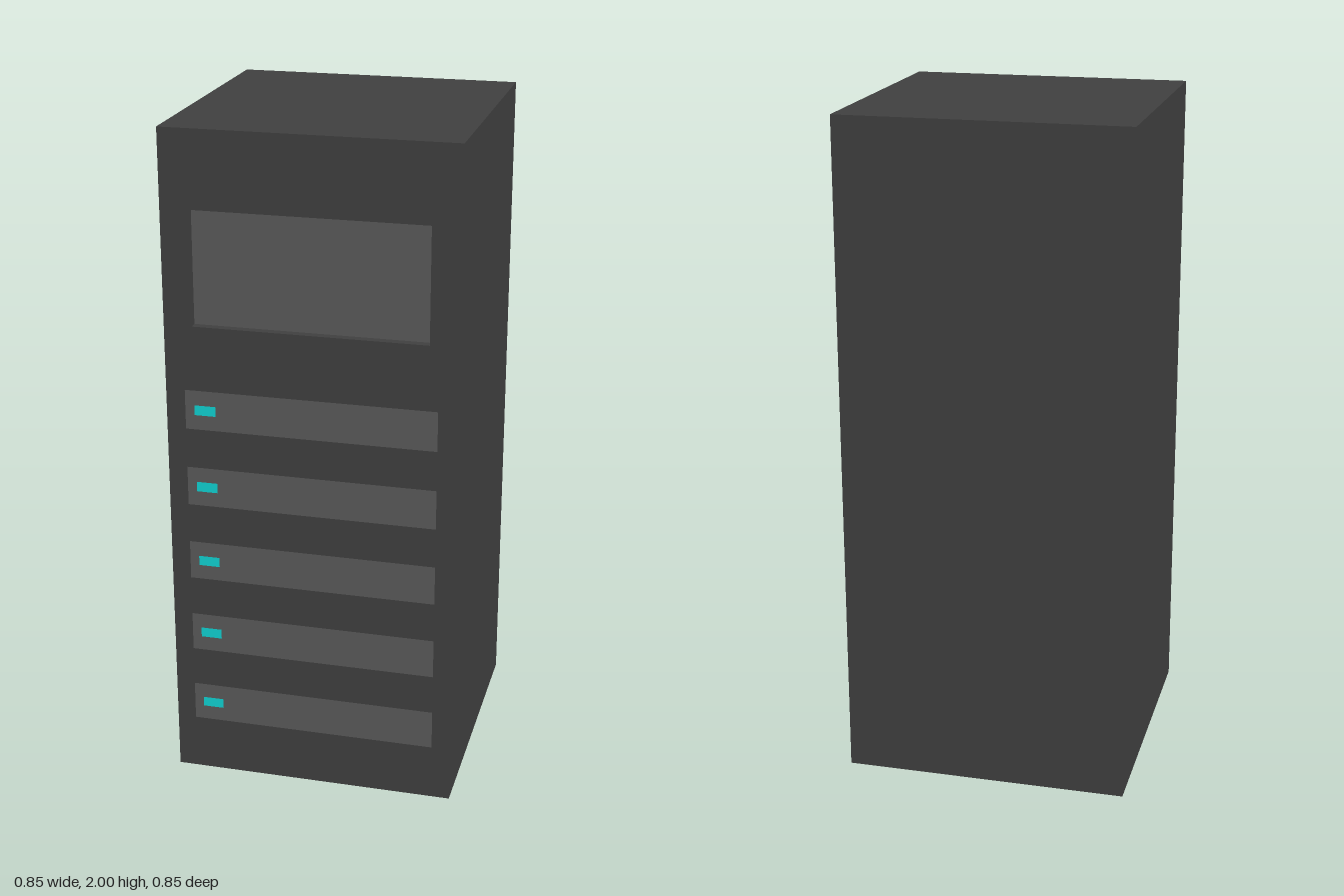
import * as THREE from 'three';

const W = 0.85, H = 2, FRONT = W / 2;
const screen = { w: 0.684, h: 0.338, y: 1.604, depth: 0.025 };
const bay = { w: 0.738, h: 0.119, y: 0.229, pitch: 0.2385, count: 5 };

const paint = (color) => new THREE.MeshStandardMaterial({ color });

// Box without the listed faces (0 +x, 1 -x, 2 +y, 3 -y, 4 +z, 5 -z)
function openBox(w, h, d, missing) {
  const geo = new THREE.BoxGeometry(w, h, d);
  const index = Array.from(geo.index.array);
  geo.setIndex(index.filter((v, i) => !missing.includes(Math.floor(i / 6))));
  geo.clearGroups();
  return geo;
}

function rectPath(Type, w, h, y) {
  return new Type([[-w, -h], [w, -h], [w, h], [-w, h]]
    .map(([a, b]) => new THREE.Vector2(a / 2, y + b / 2)));
}

export function createModel() {
  const model = new THREE.Group();
  model.name = 'serverCabinet';
  const dark = paint(0x3f3f3f);
  const grey = paint(0x5a5a5a);
  const cyan = paint(0x10d2d2);

  const add = (name, geo, mat, x, y, z) => {
    const mesh = new THREE.Mesh(geo, mat);
    mesh.name = name;
    mesh.position.set(x, y, z);
    model.add(mesh);
    return mesh;
  };

  // Cabinet sides, top, bottom and back
  add('cabinet', openBox(W, H, W, [4]), dark, 0, H / 2, 0);

  // Front plate with openings for the screen and the drive bays
  const plate = rectPath(THREE.Shape, W, H, H / 2);
  plate.holes.push(rectPath(THREE.Path, screen.w, screen.h, screen.y));
  for (let i = 0; i < bay.count; i++) {
    plate.holes.push(rectPath(THREE.Path, bay.w, bay.h, bay.y + i * bay.pitch));
  }
  add('frontPlate', new THREE.ShapeGeometry(plate), dark, 0, 0, FRONT);

  // Recess walls face inwards, with the screen at the bottom of the recess
  const walls = openBox(screen.w, screen.h, screen.depth, [4, 5]);
  const inner = dark.clone();
  inner.side = THREE.DoubleSide;
  add('screenRecess', walls, inner, 0, screen.y, FRONT - screen.depth / 2);
  add('screen', new THREE.PlaneGeometry(screen.w, screen.h), grey, 0, screen.y, FRONT - screen.depth);

  // Flush drive bays, each with a status light
  for (let i = 0; i < bay.count; i++) {
    const y = bay.y + i * bay.pitch;
    add('driveBay' + (i + 1), new THREE.PlaneGeometry(bay.w, bay.h), grey, 0, y, FRONT);
    add('statusLight' + (i + 1), new THREE.PlaneGeometry(0.063, 0.03), cyan, -0.31, y, FRONT + 0.001);
  }
  return model;
}
